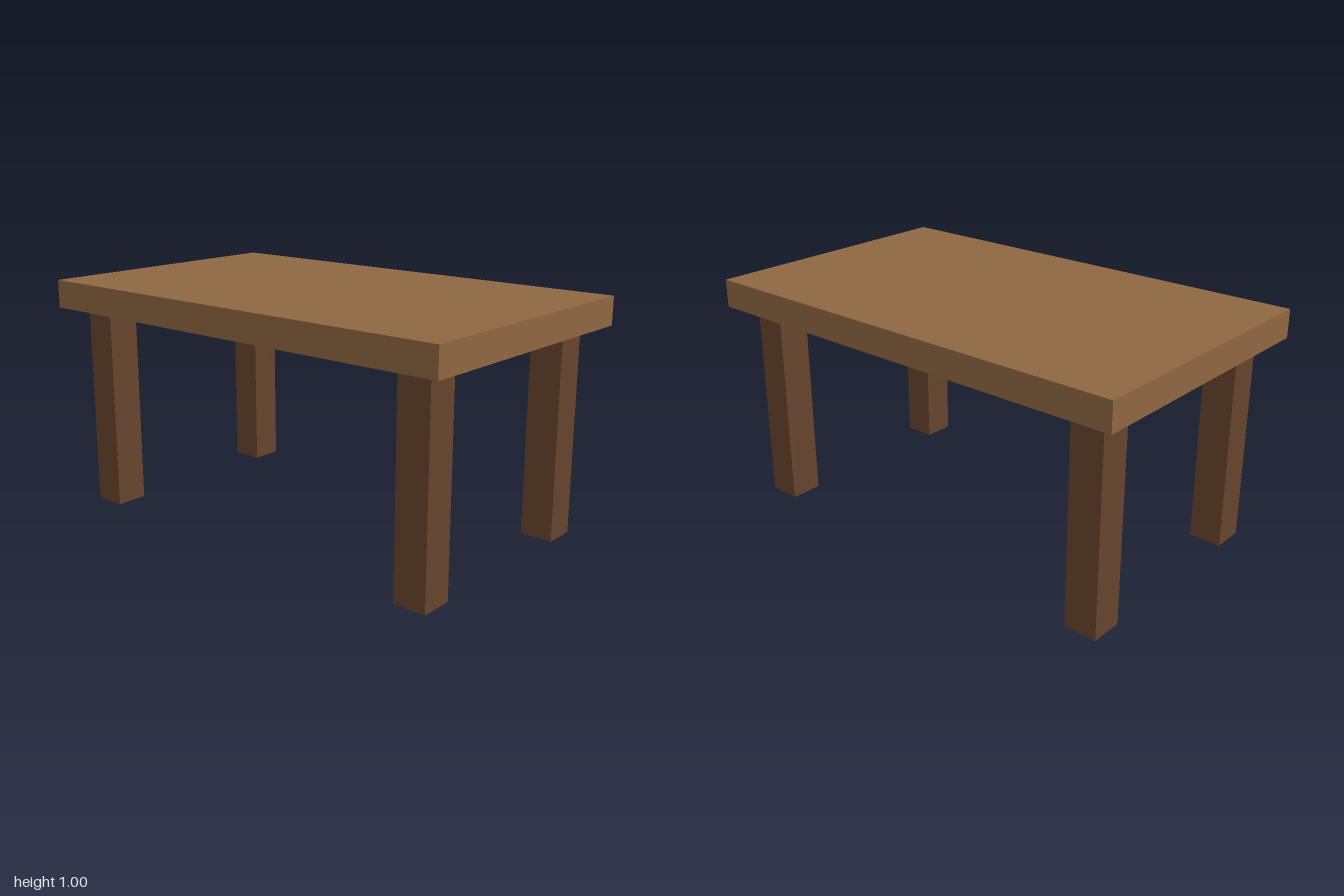
import * as THREE from 'three';

export function createModel() {
  const table = new THREE.Group();
  table.name = 'table';

  const topWood = new THREE.MeshStandardMaterial({ color: 0x906841 });
  topWood.name = 'light brown wood';
  const legWood = new THREE.MeshStandardMaterial({ color: 0x67452d });
  legWood.name = 'dark brown wood';

  const height = 1, topThickness = 0.12, legWidth = 0.14;
  const legHeight = height - topThickness;

  // Table top
  const top = new THREE.Mesh(new THREE.BoxGeometry(2, topThickness, 1.2), topWood);
  top.name = 'tableTop';
  top.position.y = height - topThickness / 2;
  table.add(top);

  // Four square legs, set in from the corners
  const legGeometry = new THREE.BoxGeometry(legWidth, legHeight, legWidth);
  for (const [sideName, sx] of [['Left', 1], ['Right', -1]]) {
    for (const [endName, sz] of [['front', 1], ['back', -1]]) {
      const leg = new THREE.Mesh(legGeometry, legWood);
      leg.name = `${endName}${sideName}Leg`;
      leg.position.set(sx * 0.84, legHeight / 2, sz * 0.44);
      table.add(leg);
    }
  }

  return table;
}
